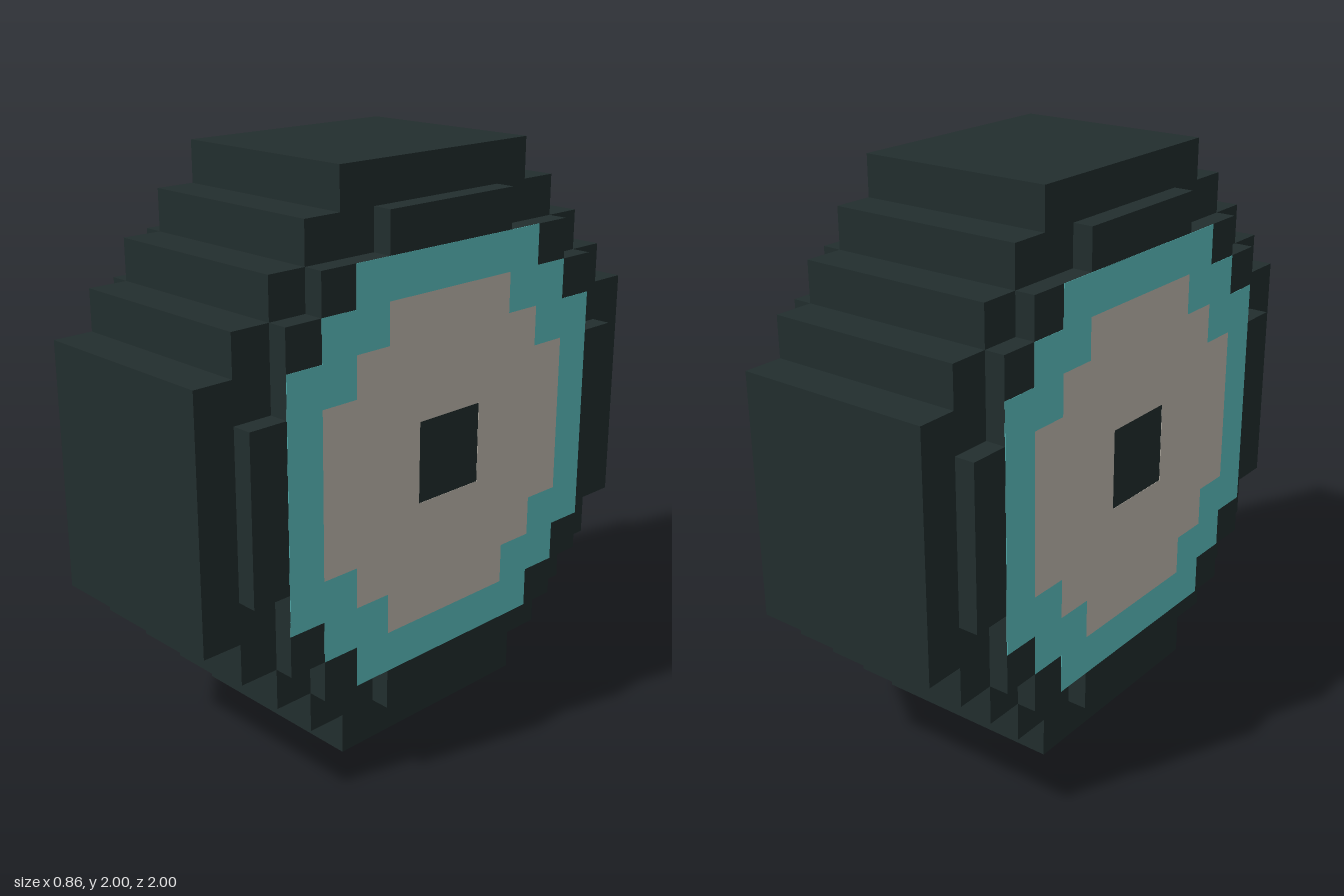
import * as THREE from 'three';

const U = 1 / 7; // one block of the stepped grid

// Stepped outline from [halfWidth, top] rows listed from the middle upward
function outline(rows, PathType = THREE.Shape) {
  const quarter = [];
  let base = 0;
  for (const [w, top] of rows) {
    if (base > 0) quarter.push([w, base]);
    quarter.push([w, top]);
    base = top;
  }
  const flip = (list, sx, sy) => list.map(([x, y]) => [x * sx, y * sy]);
  const back = [...quarter].reverse();
  const points = [
    ...quarter, ...flip(back, -1, 1), ...flip(quarter, -1, -1), ...flip(back, 1, -1),
  ].map(([x, y]) => new THREE.Vector2(x * U, y * U));
  return new PathType(points);
}

// Extrude an outline along x, centred on x = 0
function slab(rows, width, holeRows) {
  const shape = outline(rows);
  if (holeRows) shape.holes.push(outline(holeRows, THREE.Path));
  return new THREE.ExtrudeGeometry(shape, { depth: width, bevelEnabled: false })
    .translate(0, 0, -width / 2)
    .rotateY(Math.PI / 2);
}

export function createModel() {
  const rubber = new THREE.MeshStandardMaterial({ color: 0x222e2e });
  rubber.name = 'dark rubber';
  const trim = new THREE.MeshStandardMaterial({ color: 0x62caca });
  trim.name = 'turquoise trim';
  const cream = new THREE.MeshStandardMaterial({ color: 0xc9c3b8 });
  cream.name = 'cream rim';

  const wheel = new THREE.Group();
  wheel.name = 'wheel';
  wheel.position.y = 1;

  const add = (name, geometry, material, x = 0, y = 0, z = 0) => {
    const mesh = new THREE.Mesh(geometry, material);
    mesh.name = name;
    mesh.position.set(x, y, z);
    wheel.add(mesh);
  };

  const rimRows = [[4, 2], [3, 3], [2, 4]];
  const trimRows = [[5, 3], [4, 4], [3, 5]];
  const hubRows = [[1, 1]];

  // Stepped tyre and the wider wall inside it
  add('tyre', slab([[7, 3], [6, 4], [5, 5], [4, 6], [3, 7]], 5 * U), rubber);
  add('wheelWall', slab([[5, 4], [4, 5]], 6 * U), rubber);

  const plate = 0.002;
  for (const side of [1, -1]) {
    const label = side > 0 ? 'left' : 'right';
    // Painted ring and rim; the dark hub shows through the rim's hole
    add(label + 'TrimRing', slab(trimRows, plate, rimRows), trim, side * 3 * U);
    add(label + 'Rim', slab(rimRows, plate, hubRows), cream, side * 3 * U);

    // Raised tabs at the four sides of the tyre wall
    for (const s of [1, -1]) {
      add(label + 'WallTab', new THREE.BoxGeometry(0.5 * U, U, 4 * U), rubber,
        side * 2.75 * U, s * 5.5 * U, 0);
      add(label + 'WallTab', new THREE.BoxGeometry(0.5 * U, 4 * U, U), rubber,
        side * 2.75 * U, 0, s * 5.5 * U);
    }
  }

  const model = new THREE.Group();
  model.name = 'blockWheel';
  model.add(wheel);
  return model;
}
